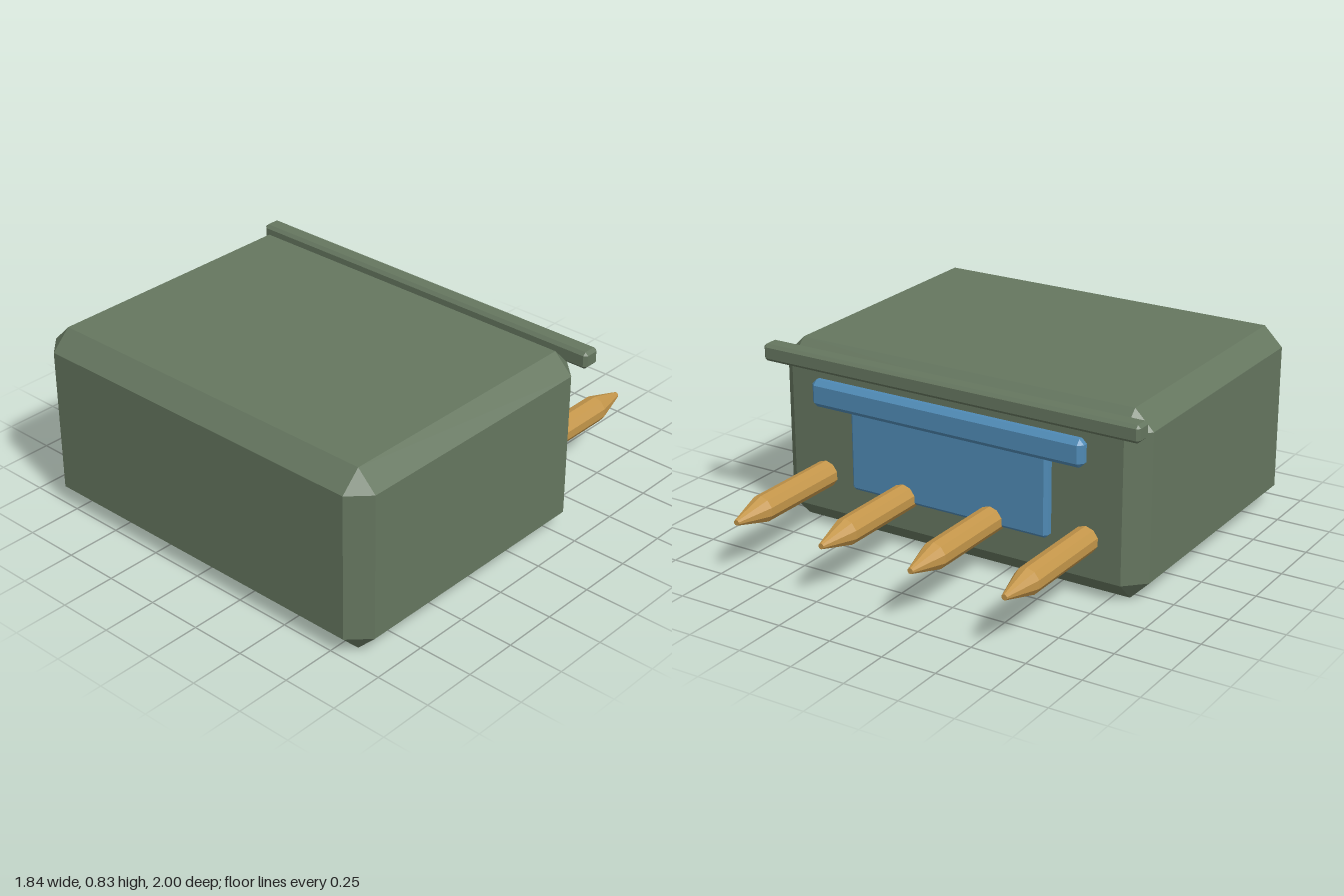
import * as THREE from 'three';
import { ConvexGeometry } from 'three/addons/geometries/ConvexGeometry.js';

const paint = (color) => new THREE.MeshStandardMaterial({ color, flatShading: true });

// Box with every edge cut at 45 degrees, given by its min and max corners
function chamferBox(name, min, max, c, material) {
  const h = max.map((v, i) => (v - min[i]) / 2);
  const points = [];
  for (const sx of [-1, 1]) for (const sy of [-1, 1]) for (const sz of [-1, 1]) {
    for (let axis = 0; axis < 3; axis++) {
      const [x, y, z] = h.map((v, i) => (i === axis ? v : v - c));
      points.push(new THREE.Vector3(sx * x, sy * y, sz * z));
    }
  }
  const mesh = new THREE.Mesh(new ConvexGeometry(points), material);
  mesh.position.set(...max.map((v, i) => (v + min[i]) / 2));
  mesh.name = name;
  return mesh;
}

export function createModel() {
  const model = new THREE.Group();
  model.name = 'chamferedBlock';
  const green = paint(0x65765f);
  const blue = paint(0x4f8ab5);
  const brass = paint(0xc4964a);

  // Main block and the rail along its upper back edge
  model.add(chamferBox('body', [-0.905, 0, -0.375], [0.905, 0.835, 1], 0.087, green));
  model.add(chamferBox('backRail', [-0.922, 0.75, -0.445], [0.922, 0.828, -0.36], 0.014, green));

  // Blue back panel with a bar across its top
  model.add(chamferBox('backPanel', [-0.49, 0.23, -0.415], [0.49, 0.69, -0.35], 0.015, blue));
  model.add(chamferBox('panelBar', [-0.67, 0.59, -0.452], [0.67, 0.713, -0.387], 0.022, blue));

  // Four pointed pegs: shaft and tapered tip turned as one profile
  const profile = [[0, 0], [0.06, 0], [0.06, 0.475], [0.013, 0.64], [0, 0.64]]
    .map(([r, y]) => new THREE.Vector2(r, y));
  const pegGeometry = new THREE.LatheGeometry(profile, 10).rotateX(-Math.PI / 2);
  for (let i = 0; i < 4; i++) {
    const peg = new THREE.Mesh(pegGeometry, brass);
    peg.position.set((i - 1.5) * 0.435, 0.257, -0.36);
    peg.name = 'peg' + (i + 1);
    model.add(peg);
  }
  return model;
}
